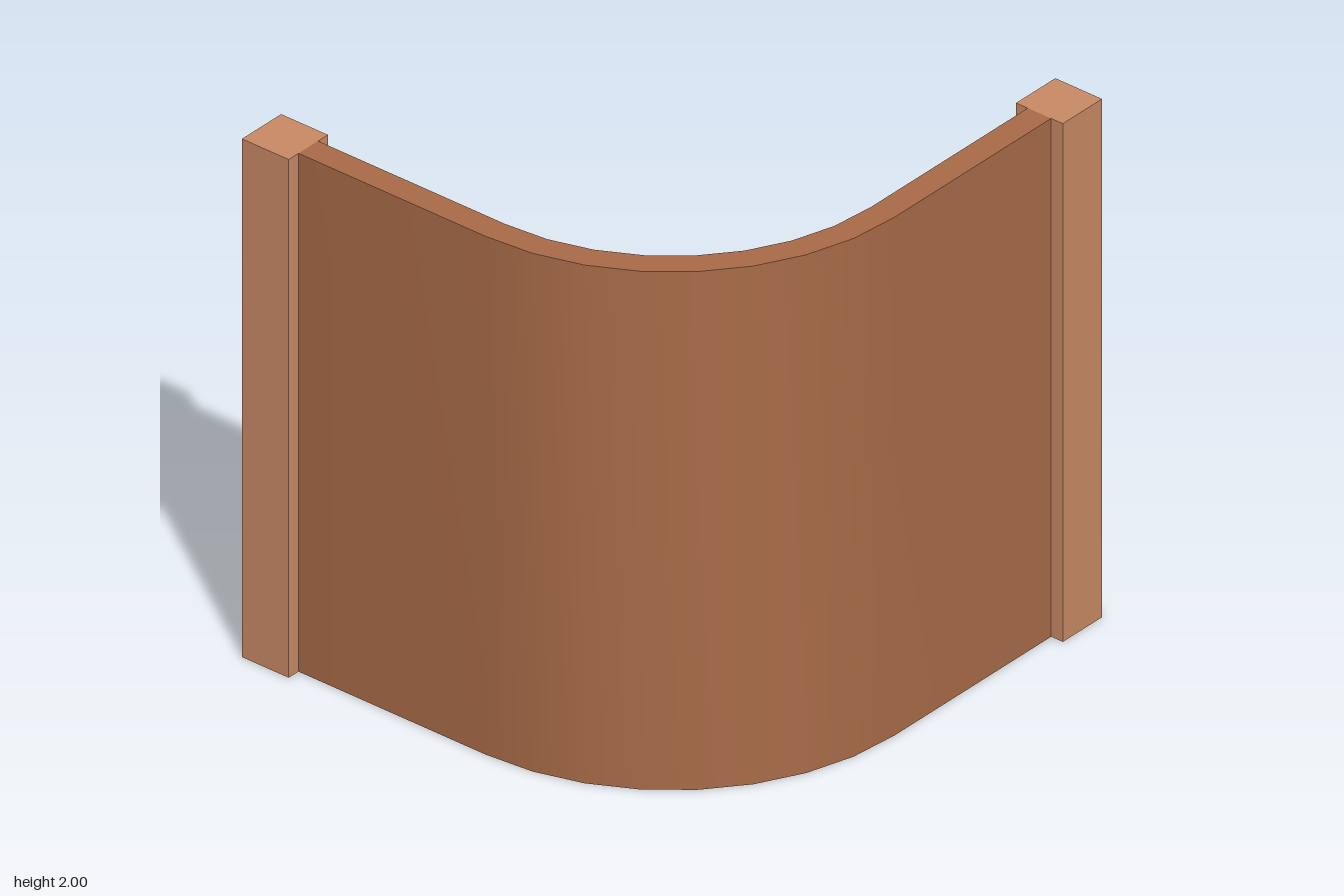
import * as THREE from 'three';
import { toCreasedNormals } from 'three/addons/utils/BufferGeometryUtils.js';

const HEIGHT = 2, OUTER = 0.95, INNER = 0.85, END = 0.8, POST = 0.2;

export function createModel() {
  const group = new THREE.Group();
  const panelMaterial = new THREE.MeshStandardMaterial({ color: 0xa96b48 });
  const postMaterial = new THREE.MeshStandardMaterial({ color: 0xc98a65 });

  // Curved wall: plan outline (shape y = -z) with a rounded corner, raised to full height
  const plan = new THREE.Shape();
  plan.moveTo(-END, -OUTER);
  plan.lineTo(0, -OUTER);
  plan.absarc(0, 0, OUTER, -Math.PI / 2, 0, false);
  plan.lineTo(OUTER, END);
  plan.lineTo(INNER, END);
  plan.lineTo(INNER, 0);
  plan.absarc(0, 0, INNER, 0, -Math.PI / 2, true);
  plan.lineTo(-END, -INNER);
  plan.closePath();
  const wallGeometry = new THREE.ExtrudeGeometry(plan, { depth: HEIGHT, bevelEnabled: false, curveSegments: 4 });
  wallGeometry.rotateX(-Math.PI / 2);
  const wall = new THREE.Mesh(toCreasedNormals(wallGeometry, Math.PI / 6), panelMaterial);
  wall.name = 'curvedWall';
  group.add(wall);

  // Square posts closing both ends of the wall
  const postGeometry = new THREE.BoxGeometry(POST, HEIGHT, POST);
  for (const [name, x, z] of [['frontPost', -0.9, 0.9], ['backPost', 0.9, -0.9]]) {
    const post = new THREE.Mesh(postGeometry, postMaterial);
    post.name = name;
    post.position.set(x, HEIGHT / 2, z);
    group.add(post);
  }
  return group;
}
